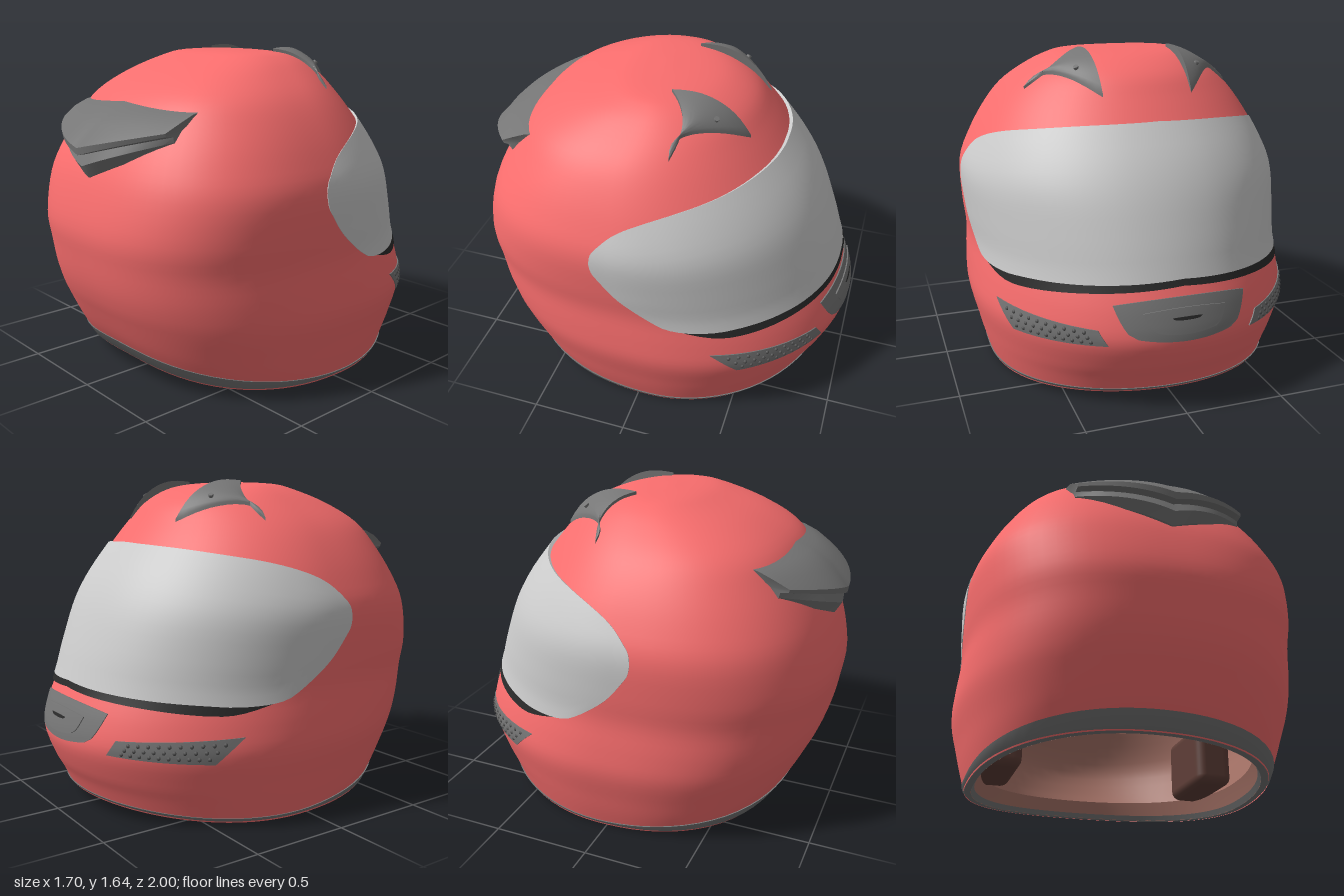
import * as THREE from 'three';
import { toCreasedNormals } from 'three/addons/utils/BufferGeometryUtils.js';
import { RoundedBoxGeometry } from 'three/addons/geometries/RoundedBoxGeometry.js';

const mat = (color) => new THREE.MeshStandardMaterial({ color, side: THREE.DoubleSide });
const RED = mat(0xfa6e6e), VISOR = mat(0xcccccc), GREY = mat(0x767676), DARK = mat(0x2a2a2a);
const HOLE = mat(0x555555), LINING = mat(0xa87468), PAD = mat(0x5e3e37);
const lerp = THREE.MathUtils.lerp, clamp = THREE.MathUtils.clamp, D = Math.PI / 180;

// Shell levels: height, half width, face side z, back z
const LEVELS = [
  [0, .755, -.86, .745], [.1, .785, -.9, .795], [.2, .81, -.945, .84], [.36, .847, -.99, .9],
  [.5, .843, -.965, .95], [.65, .83, -.905, .98], [.8, .842, -.855, .995], [1, .845, -.775, .95],
  [1.15, .79, -.69, .885], [1.3, .708, -.575, .79], [1.42, .617, -.48, .695], [1.52, .5, -.39, .53],
  [1.59, .39, -.26, .34], [1.62, .28, -.12, .22], [1.632, 0, .05, .05],
];
const curve = (k) => new THREE.CatmullRomCurve3(
  LEVELS.map((l) => new THREE.Vector3(l[1], l[0], l[k])), false, 'catmullrom');
const face = curve(2), back = curve(3);

function level(t) {
  const a = face.getPoint(t), b = back.getPoint(t);
  return { y: a.y, w: Math.max(a.x, 0), c: (a.z + b.z) / 2, r: Math.max((b.z - a.z) / 2, 0) };
}
function bisect(test) {
  let lo = 0, hi = 1;
  for (let i = 0; i < 24; i++) {
    const m = (lo + hi) / 2;
    if (test(m)) lo = m; else hi = m;
  }
  return lo;
}
const tOf = (y) => (y <= 0 ? 0 : bisect((t) => face.getPoint(t).y < y));

// Point on the shell: level t, angle from the face (towards +x), outward offset d
function at(t, angle, d = 0) {
  const l = level(t), s = Math.sin(angle), c = Math.cos(angle), n = c < 0 ? 2.6 : 2;
  const k = Math.pow(Math.abs(s) ** n + Math.abs(c) ** n, -1 / n);
  const lift = Math.max(0, 1 - l.y / .4) * c * c * (c < 0 ? .09 : .07);
  return [Math.max(l.w + d, 0) * s * k, l.y + lift + d * (l.y / 1.64) ** 2, l.c - Math.max(l.r + d, 0) * c * k];
}
// Shell height above a point in plan
const topY = (x, z) => level(bisect((t) => {
  const l = level(t), n = z > l.c ? 2.6 : 2;
  return l.w > 0 && l.r > 0 && (Math.abs(x) / l.w) ** n + (Math.abs(z - l.c) / l.r) ** n < 1;
})).y;

// Grid surface from f(i, j)
function grid(nu, nv, f, crease = .6) {
  const pos = [], idx = [];
  for (let i = 0; i <= nu; i++) for (let j = 0; j <= nv; j++) {
    pos.push(...f(i, j));
    const a = i * (nv + 1) + j, b = a + nv + 1;
    if (i < nu && j < nv) idx.push(a, a + 1, b, b, a + 1, b + 1);
  }
  const g = new THREE.BufferGeometry();
  g.setAttribute('position', new THREE.Float32BufferAttribute(pos, 3));
  g.setIndex(idx);
  return toCreasedNormals(g, crease);
}
// Raised panel: f(u, v, skirt), with the border row dropped as a skirt
function panel(nu, nv, f) {
  return grid(nu + 2, nv + 2, (i, j) => f(clamp((i - 1) / nu, 0, 1), clamp((j - 1) / nv, 0, 1),
    i === 0 || j === 0 || i === nu + 2 || j === nv + 2));
}
// Panel lying on the shell; f(u, v) gives [degrees, height], d(degrees) its rise
const shellPanel = (nu, nv, d, f) => panel(nu, nv, (u, v, skirt) => {
  const [a, y] = f(u, v);
  return at(tOf(y), a * D, skirt ? -.015 : d(Math.abs(a)));
});
// Smooth lookup in an [angle, height] table
function edge(table) {
  const c = new THREE.SplineCurve(table.map((p) => new THREE.Vector2(...p)));
  const pts = c.getPoints(160);
  return (a) => {
    const i = Math.max(1, pts.findIndex((p) => p.x >= a));
    const p = pts[i - 1], q = pts[i];
    return lerp(p.y, q.y, clamp((a - p.x) / (q.x - p.x || 1), 0, 1));
  };
}
// Four-cornered area in degrees and height
const quad = (p, q, r, s) => (u, v) => [0, 1].map((k) => lerp(lerp(p[k], q[k], u), lerp(s[k], r[k], u), v));

export function createModel() {
  const model = new THREE.Group();
  const add = (name, geo, material, parent = model) => {
    const m = new THREE.Mesh(geo, material);
    m.name = name;
    parent.add(m);
    return m;
  };

  // Shell and lining
  add('shell', grid(80, 56, (i, j) => at(j / 56, i / 40 * Math.PI), 1), RED);
  add('lining', grid(64, 36, (i, j) =>
    at(j / 36, i / 32 * Math.PI, -.035 - .075 * Math.min(1, j / 3)), .5), LINING);

  // Bottom trim, deeper at the back
  add('bottomTrim', grid(80, 5, (i, j) => {
    const a = i / 40 * Math.PI, h = .025 + .085 * Math.max(0, -Math.cos(a)) ** 1.5;
    const [y, d] = [[.03, -.06], [0, -.035], [0, -.005], [.015, .005], [h, .006], [h, -.01]][j];
    return at(tOf(y), a, d);
  }), GREY);

  // Visor, sinking flush towards its rounded ends, and the seal under it
  const top = edge([[0, 1.315], [30, 1.3], [56, 1.265], [71, 1.23], [82, 1.185], [89, 1.135], [94, 1.07],
    [96, 1.03], [96.6, .98]]);
  const low = edge([[0, .65], [48, .61], [63, .595], [75, .605], [81, .65], [89, .77], [94, .88],
    [96, .93], [96.6, .98]]);
  add('visor', shellPanel(80, 14, (a) => lerp(.017, .003, clamp((a - 15) / 60, 0, 1)), (u, v) => {
    const a = 96.6 * Math.sin((u - .5) * Math.PI);
    return [a, lerp(low(Math.abs(a)), top(Math.abs(a)), v)];
  }), VISOR);
  const sealLow = edge([[0, .62], [30, .59], [55, .56], [64, .565], [74, .605]]);
  add('visorSeal', shellPanel(48, 2, (a) => lerp(.014, .001, clamp((a - 15) / 60, 0, 1)), (u, v) => {
    const a = 74 * (2 * u - 1), b = Math.abs(a);
    return [a, lerp(sealLow(b), low(b) + .01, v)];
  }), DARK);

  // Chin vent with raised cover and slot
  const chin = (name, half, y0, y1, d, m) => add(name, shellPanel(16, 6, () => d, (u, v) => {
    const s = 2 * u - 1, h = y1 - y0;
    return [s * half * lerp(.68, 1, Math.sqrt(v)), lerp(y0 + .12 * h * s * s, y1 - .15 * h * s * s, v)];
  }), m);
  chin('chinVent', 23, .37, .575, .006, GREY);
  chin('chinVentCover', 14, .41, .53, .012, GREY);
  chin('chinVentSlot', 5, .475, .49, .014, DARK);

  for (const side of [1, -1]) {
    // Perforated side grille
    const grille = new THREE.Group();
    grille.name = side > 0 ? 'leftGrille' : 'rightGrille';
    model.add(grille);
    const area = quad([59, .335], [25, .35], [28, .43], [66.5, .46]);
    const onSide = (u, v) => { const [a, y] = area(u, v); return [a * side, y]; };
    add('grillePlate', shellPanel(14, 4, () => .005, onSide), GREY, grille);
    for (let i = 0; i < 10; i++) for (let j = 0; j < 3; j++) {
      const [a, y] = onSide(.1 + i * .085, .22 + j * .28);
      add('grilleHole', new THREE.SphereGeometry(.011, 8, 6), HOLE, grille)
        .position.set(...at(tOf(y), a * D, .001));
    }

    // Crown vent: three-cornered scoop with hollowed outer edges
    const vent = new THREE.Group();
    vent.name = side > 0 ? 'leftCrownVent' : 'rightCrownVent';
    model.add(vent);
    add('crownScoop', panel(14, 12, (u, v, skirt) => {
      const x = lerp(lerp(.23, .245, u), .55, v);
      const bow = lerp(.065 * Math.sin(Math.PI * v * v), -.06 * Math.sin(Math.PI * v), u);
      const z = lerp(lerp(-.43, -.04, u), -.12, v) + bow;
      const rise = .015 + .03 * Math.sin(Math.PI * u ** .8) * (1 - v);
      return [x * side, topY(x, z) + (skirt ? -.03 : rise), z];
    }), GREY, vent);
    const knob = add('crownKnob', new THREE.CylinderGeometry(.013, .013, .02, 12), GREY, vent);
    knob.position.set(.32 * side, topY(.32, -.28) + .034, -.28);
    knob.rotation.set(-.45, 0, -.4 * side);

    // Cheek pad
    add('cheekPad', new RoundedBoxGeometry(.2, .34, .44, 3, .05), PAD)
      .position.set(.58 * side, .28, -.22);
  }

  // Rear spoiler: section [y, z] at the middle and at the tips
  const mid = [[1.38, .64], [1.405, .69], [1.375, .8], [1.3, .91], [1.2, 1], [1.165, .995], [1.165, .95],
    [1.11, .975], [1.05, .94], [1.05, .82]];
  const tip = [[1.35, .55], [1.385, .595], [1.37, .66], [1.34, .73], [1.295, .805], [1.28, .8], [1.275, .76],
    [1.25, .755], [1.225, .72], [1.225, .6]];
  const n = mid.length;
  add('rearSpoiler', grid(26, n, (i, j) => {
    const u = clamp((i - 1) / 12 - 1, -1, 1), a = Math.abs(u);
    if (i === 0 || i === 26) return [.43 * u, 1.3, .66];
    const p = mid[j % n], q = tip[j % n];
    const x = j % n > 3 ? .43 : .45;
    return [x * u, lerp(p[0], q[0], a), lerp(p[1], q[1], a ** 1.9)];
  }, .5), GREY);

  return model;
}
